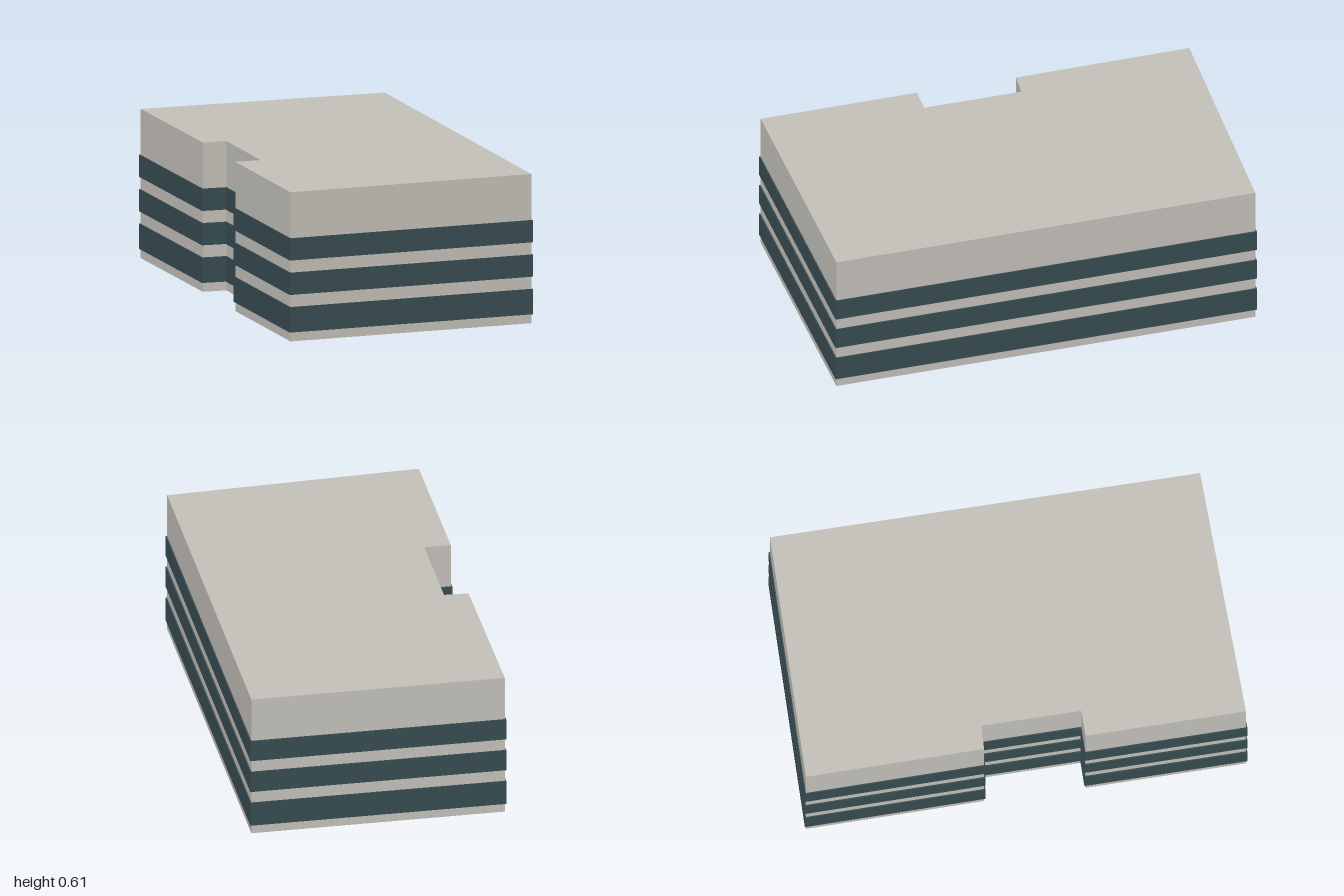
import * as THREE from 'three';

// Footprint corners (x, z) of the rotated block with a notch in its long side
const FOOTPRINT = [
  [-0.209, -0.993], [0.761, -0.656], [0.22, 0.994], [-0.763, 0.695],
  [-0.563, 0.078], [-0.461, 0.112], [-0.336, -0.271], [-0.428, -0.307],
].map(([x, z]) => new THREE.Vector2(x, z));

// Push every wall of the footprint outward by d, with mitred corners
function offset(points, d) {
  const n = points.length;
  const normal = (a, b) => new THREE.Vector2(b.y - a.y, a.x - b.x).normalize();
  return points.map((p, i) => {
    const n1 = normal(points[(i + n - 1) % n], p);
    const n2 = normal(p, points[(i + 1) % n]);
    return n1.clone().add(n2).multiplyScalar(d / (1 + n1.dot(n2))).add(p);
  });
}

// Vertical prism over a footprint, between two heights
function prism(name, points, y0, y1, color) {
  const geometry = new THREE.ExtrudeGeometry(new THREE.Shape(points), { depth: y1 - y0, bevelEnabled: false });
  geometry.rotateX(Math.PI / 2).translate(0, y1, 0);
  const mesh = new THREE.Mesh(geometry, new THREE.MeshStandardMaterial({ color }));
  mesh.name = name;
  return mesh;
}

export function createModel() {
  const model = new THREE.Group();
  model.name = 'officeBuilding';

  // Walls and flat roof
  model.add(prism('buildingBody', FOOTPRINT, 0, 0.607, 0xc4c1ba));

  // Window strips wrapping all around, standing slightly proud of the walls
  const stripOutline = offset(FOOTPRINT, 0.005);
  [[0.037, 0.14], [0.19, 0.28], [0.33, 0.42]].forEach(([y0, y1], i) => {
    model.add(prism(`windowStrip${i + 1}`, stripOutline, y0, y1, 0x384c52));
  });
  return model;
}
